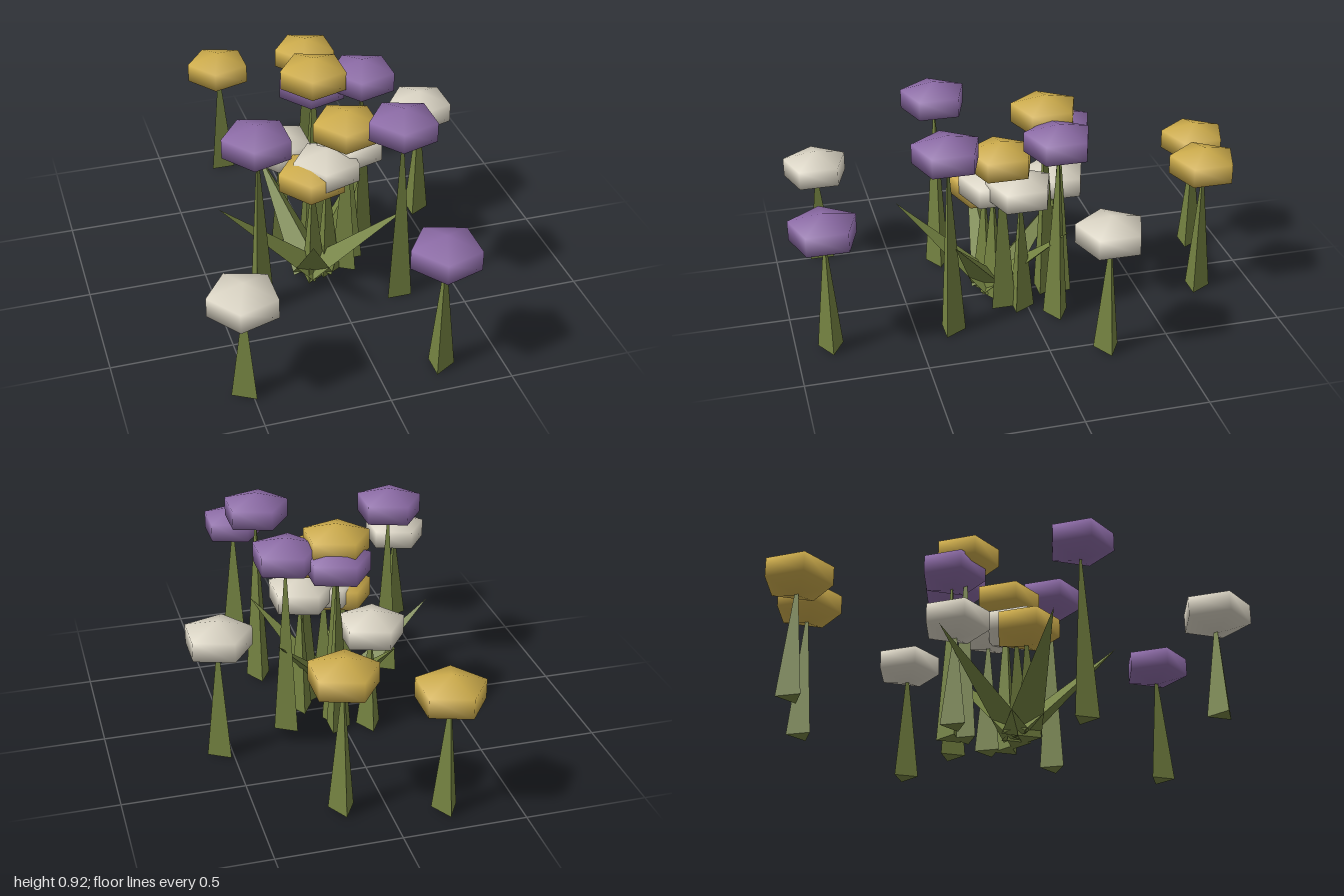
import * as THREE from 'three';

const paint = (name, color) => {
  const m = new THREE.MeshStandardMaterial({ color });
  m.name = name;
  return m;
};

// Faceted three-sided cone standing on y = 0, one corner towards +z
function facetedCone(radius, height) {
  const g = new THREE.ConeGeometry(radius, height, 3).toNonIndexed();
  g.translate(0, height / 2, 0);
  g.computeVertexNormals();
  return g;
}

export function createModel() {
  const model = new THREE.Group();
  model.name = 'flowerPatch';

  const green = paint('leafGreen', 0x748241);
  const gold = paint('gold', 0xcdac4c);
  const purple = paint('purple', 0x8c6ba6);
  const cream = paint('cream', 0xd9d3c3);

  // Soft five-sided bloom, squashed to half height
  const bloomShape = new THREE.SphereGeometry(0.165, 5, 3);
  bloomShape.scale(1, 0.5, 1);

  const L = -Math.PI / 2, R = Math.PI / 2, B = Math.PI;
  // x, bloom height, z, bloom colour, stem turn
  const flowers = [
    [-0.52, 0.44, 0.795, cream, L],
    [0.543, 0.532, -0.233, cream, R],
    [-0.11, 0.467, -0.185, cream, B],
    [0.01, 0.528, 0.116, cream, R],
    [0.136, 0.556, 0.03, cream, B],
    [-0.329, 0.796, 0.291, purple, R],
    [0.251, 0.813, 0.355, purple, B],
    [0.253, 0.54, 0.857, purple, R],
    [0.03, 0.765, -0.164, purple, L],
    [0.23, 0.8, -0.106, purple, R],
    [-0.219, 0.52, -0.862, gold, B],
    [0.17, 0.592, -0.757, gold, B],
    [0.019, 0.838, -0.106, gold, B],
    [0.099, 0.688, 0.1, gold, L],
    [-0.06, 0.498, 0.138, gold, R],
  ];
  for (const [x, y, z, color, turn] of flowers) {
    const flower = new THREE.Group();
    flower.name = 'flower';
    flower.position.set(x, 0, z);
    const stem = new THREE.Mesh(facetedCone(0.06, y), green);
    stem.name = 'stem';
    stem.rotation.y = turn;
    const bloom = new THREE.Mesh(bloomShape, color);
    bloom.name = 'bloom';
    bloom.position.y = y;
    flower.add(stem, bloom);
    model.add(flower);
  }

  // Fan of five flattened leaves, ridge upwards, leaning outwards
  const reach = 0.41, rise = 0.385;
  const leafShape = facetedCone(0.1, Math.hypot(reach, rise));
  leafShape.rotateY(-Math.PI / 2);
  leafShape.scale(0.5, 1, 1);
  leafShape.rotateZ(-Math.atan2(reach, rise));
  const leaves = new THREE.Group();
  leaves.name = 'leaves';
  leaves.position.set(-0.05, 0.025, 0.11);
  for (let i = 0; i < 5; i++) {
    const leaf = new THREE.Mesh(leafShape, green);
    leaf.name = 'leaf';
    leaf.rotation.y = -THREE.MathUtils.degToRad(34 + 72 * i);
    leaves.add(leaf);
  }
  model.add(leaves);
  return model;
}
